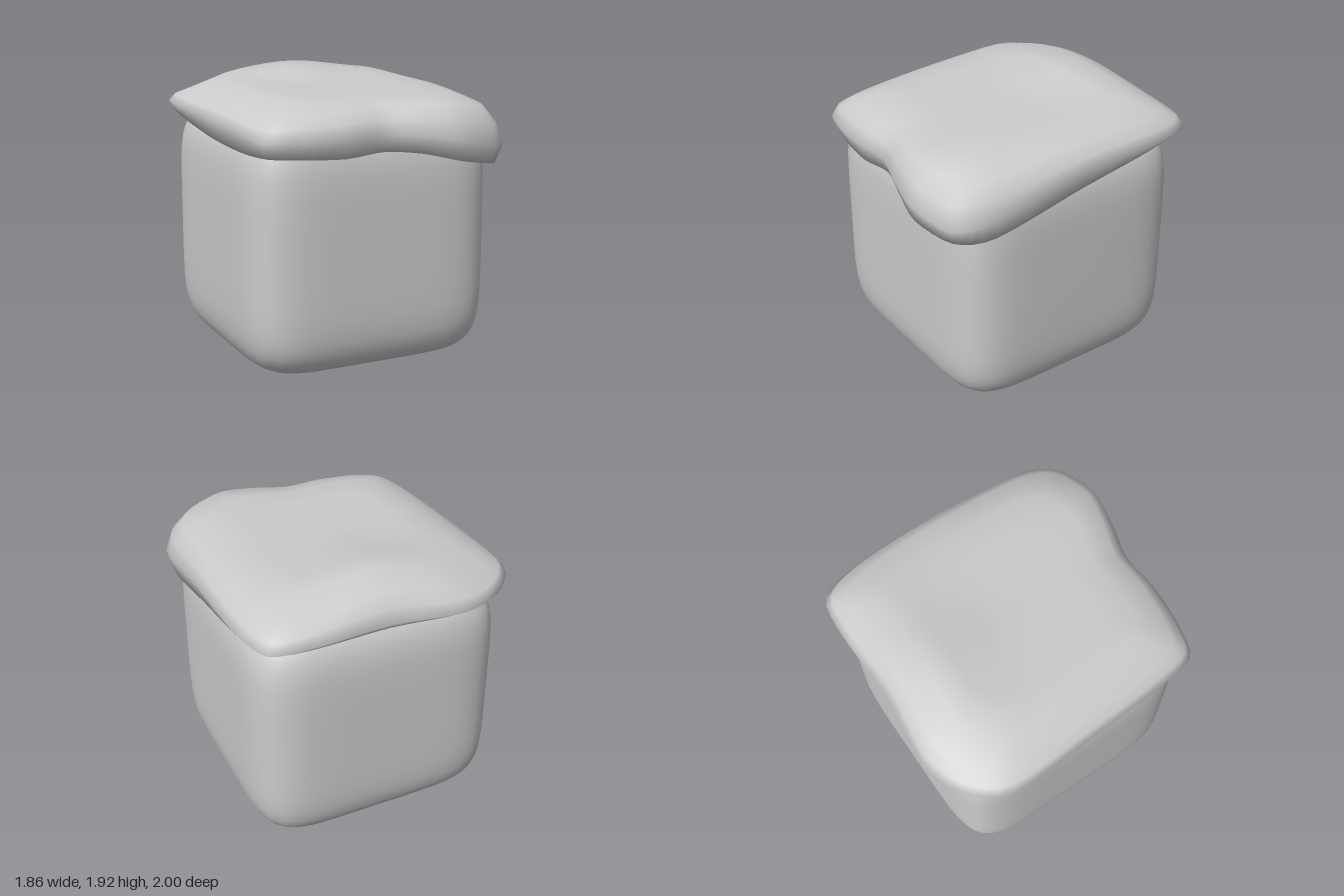
import * as THREE from 'three';
import { mergeVertices } from 'three/addons/utils/BufferGeometryUtils.js';

const material = new THREE.MeshStandardMaterial({ color: 0xcccccc });

// Pillowy cube: box points pushed onto a superellipsoid
function createBody() {
  const box = new THREE.BoxGeometry(2, 2, 2, 20, 20, 20);
  box.deleteAttribute('uv');
  box.deleteAttribute('normal');
  const geometry = mergeVertices(box);
  const p = geometry.attributes.position;
  const n = 6;
  for (let i = 0; i < p.count; i++) {
    const v = new THREE.Vector3().fromBufferAttribute(p, i);
    const r = (Math.abs(v.x) ** n + Math.abs(v.y) ** n + Math.abs(v.z) ** n) ** (1 / n);
    v.divideScalar(r);
    p.setXYZ(i, v.x * 0.868, 0.855 + v.y * 0.852, -0.045 + v.z * 0.865);
  }
  geometry.computeVertexNormals();
  const mesh = new THREE.Mesh(geometry, material);
  mesh.name = 'body';
  return mesh;
}

// Cap outline: x, z, height of lower lip, of widest point, of shoulder
const rim = [
  [-0.93, -0.65, 1.62, 1.69, 1.77],
  [-0.75, -0.90, 1.63, 1.68, 1.77],
  [-0.46, -1.00, 1.64, 1.67, 1.80],
  [0.02, -0.95, 1.64, 1.69, 1.85],
  [0.53, -0.96, 1.64, 1.68, 1.80],
  [0.82, -0.91, 1.64, 1.67, 1.78],
  [0.91, -0.60, 1.61, 1.67, 1.79],
  [0.925, 0.00, 1.52, 1.65, 1.79],
  [0.91, 0.66, 1.38, 1.52, 1.74],
  [0.79, 0.91, 1.37, 1.48, 1.74],
  [0.49, 1.00, 1.42, 1.55, 1.78],
  [0.22, 0.95, 1.48, 1.59, 1.78],
  [-0.03, 0.88, 1.50, 1.61, 1.77],
  [-0.31, 0.90, 1.48, 1.61, 1.76],
  [-0.60, 0.875, 1.49, 1.60, 1.75],
  [-0.82, 0.80, 1.50, 1.60, 1.73],
  [-0.88, 0.50, 1.50, 1.63, 1.74],
  [-0.91, 0.00, 1.53, 1.66, 1.76],
];

// Gently sloping top with a hump towards the back
const topHeight = (x, z) =>
  1.83 - 0.03 * z + 0.075 * Math.exp(-((x / 0.42) ** 2) - ((z + 0.65) / 0.32) ** 2);

// Draped cap lofted from rings around the outline
function createCap() {
  const count = 72;
  const loop = (column) => new THREE.CatmullRomCurve3(
    rim.map((r) => new THREE.Vector3(r[0], r[column], r[1])), true, 'catmullrom', 0.4);
  const [lip, wide, shoulder] = [2, 3, 4].map(loop);
  const rings = [
    { s: 0.82, curve: lip, lift: 0.05 },
    { s: 0.96, curve: lip, lift: 0 },
    { s: 1, curve: wide, lift: 0 },
    { s: 0.96, curve: wide, lift: 0, mix: 0.55 },
    { s: 0.88, curve: shoulder, lift: 0 },
    { s: 0.7 }, { s: 0.5 }, { s: 0.25 },
  ];
  const positions = [];
  const index = [];
  for (const { s, curve, lift, mix = 0 } of rings) {
    for (let i = 0; i < count; i++) {
      const t = i / count;
      const v = (curve || wide).getPoint(t);
      let y = topHeight(v.x * s, v.z * s);
      if (curve) y = THREE.MathUtils.lerp(v.y, shoulder.getPoint(t).y, mix) + lift;
      positions.push(v.x * s, y, v.z * s);
    }
  }
  for (let r = 0; r < rings.length - 1; r++) {
    for (let i = 0; i < count; i++) {
      const a = r * count + i;
      const b = r * count + (i + 1) % count;
      index.push(a, a + count, b, b, a + count, b + count);
    }
  }
  // Close the top with a fan
  const last = (rings.length - 1) * count;
  const centre = rings.length * count;
  positions.push(0, topHeight(0, 0), 0);
  for (let i = 0; i < count; i++) index.push(last + i, centre, last + (i + 1) % count);

  const geometry = new THREE.BufferGeometry();
  geometry.setAttribute('position', new THREE.Float32BufferAttribute(positions, 3));
  geometry.setIndex(index);
  geometry.computeVertexNormals();
  const capMaterial = material.clone();
  capMaterial.side = THREE.DoubleSide;
  const mesh = new THREE.Mesh(geometry, capMaterial);
  mesh.name = 'drapedCap';
  return mesh;
}

export function createModel() {
  const group = new THREE.Group();
  group.name = 'cappedBlock';
  group.add(createBody(), createCap());
  return group;
}
